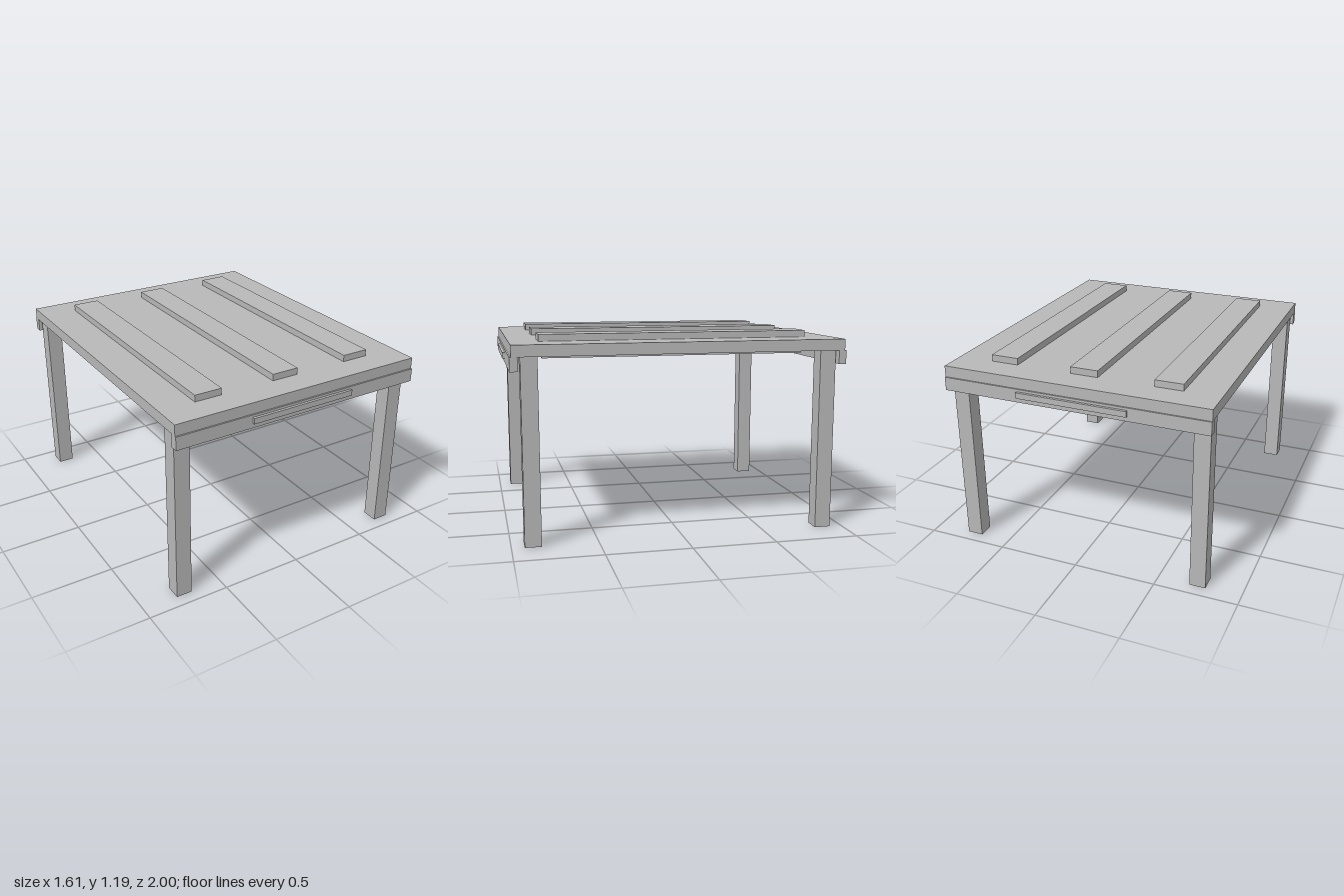
import * as THREE from 'three';

export function createModel() {
  const model = new THREE.Group();
  const grey = new THREE.MeshStandardMaterial({ color: 0xb8b8b8 });
  grey.name = 'plain grey';

  // Box given by its centre in x and z, and its bottom and top heights
  function box(name, width, depth, bottom, top, x = 0, z = 0) {
    const mesh = new THREE.Mesh(new THREE.BoxGeometry(width, top - bottom, depth), grey);
    mesh.name = name;
    mesh.position.set(x, (bottom + top) / 2, z);
    model.add(mesh);
  }

  // Table top with three raised slats
  box('tableTop', 1.61, 1.95, 1.08, 1.147);
  for (const x of [-0.505, 0, 0.505]) box('slat', 0.168, 1.614, 1.147, 1.187, x);

  for (const side of [-1, 1]) {
    // Apron and handle at the front and back
    box('apron', 1.61, 0.045, 1.0, 1.08, 0, side * 0.9615);
    box('handle', 0.67, 0.016, 1.03, 1.065, 0, side * 0.992);
    // Thin rail under the top
    box('underRail', 0.034, 1.58, 1.05, 1.08, side * 0.57);
    // Legs at both ends
    for (const end of [-1, 1]) box('leg', 0.096, 0.096, 0, 1.08, side * 0.739, end * 0.877);
  }
  return model;
}
